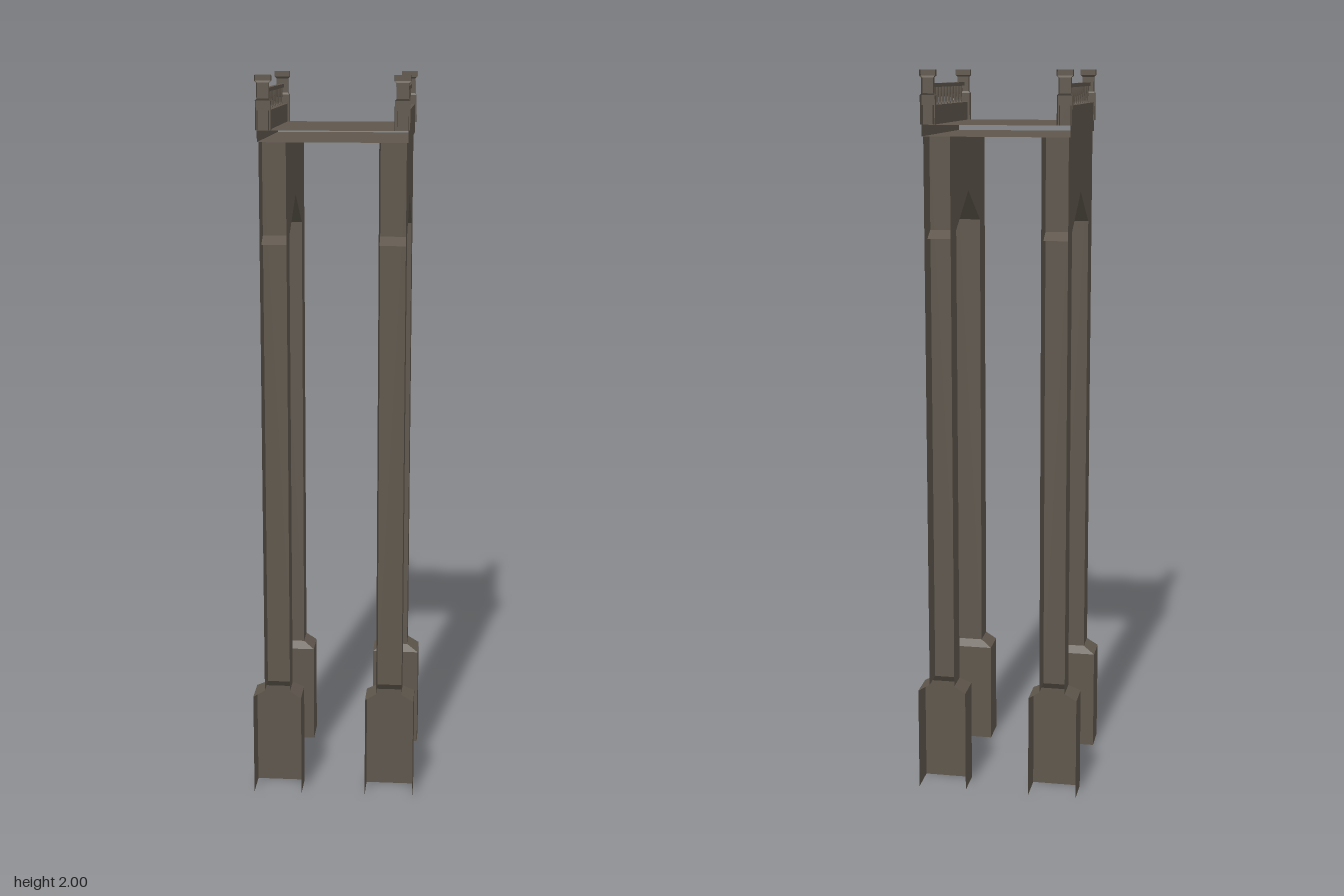
import * as THREE from 'three';

const END = 0.23; // open ends of the bridge section

export function createModel() {
  const model = new THREE.Group();
  const stone = new THREE.MeshStandardMaterial({ color: 0x5f574d, side: THREE.DoubleSide });
  stone.name = 'stone';

  const add = (name, geometry, x = 0, y = 0, z = 0) => {
    const mesh = new THREE.Mesh(geometry, stone);
    mesh.name = name;
    mesh.position.set(x, y, z);
    model.add(mesh);
    return mesh;
  };

  // Flat-faced sheet joining successive open cross-sections
  const loft = (rings, flip) => {
    const pos = [];
    for (let r = 0; r < rings.length - 1; r++) {
      for (let i = 0; i < rings[r].length - 1; i++) {
        const a = rings[r][i], b = rings[r][i + 1];
        const c = rings[r + 1][i + 1], d = rings[r + 1][i];
        const corners = flip ? [a, c, b, a, d, c] : [a, b, c, a, c, d];
        corners.forEach((p) => pos.push(...p));
      }
    }
    const g = new THREE.BufferGeometry();
    g.setAttribute('position', new THREE.Float32BufferAttribute(pos, 3));
    g.computeVertexNormals();
    return g;
  };

  // Upright three-sided channel, open toward the end; levels are [y, xInner, xOuter, zInner]
  const channel = (levels, sx, sz) => loft(levels.map(([y, xi, xo, zi]) => [
    [sx * xi, y, sz * END], [sx * xi, y, sz * zi],
    [sx * xo, y, sz * zi], [sx * xo, y, sz * END],
  ]), sx * sz > 0);

  for (const sx of [-1, 1]) {
    for (const sz of [-1, 1]) {
      // Wide foot with a sloped shoulder, then the tall pier
      add('pierFoot', channel([
        [0, 0.09, 0.225, 0.144], [0.29, 0.09, 0.225, 0.144], [0.31, 0.121, 0.192, 0.16],
      ], sx, sz));
      add('pier', channel([[0.31, 0.121, 0.192, 0.16], [1.83, 0.121, 0.192, 0.16]], sx, sz));

      // Railing end post with a recessed neck and a cap
      add('railingPost', channel([
        [1.86, 0.16, 0.2, 0.212], [1.935, 0.16, 0.2, 0.212],
        [1.94, 0.164, 0.196, 0.215], [1.98, 0.164, 0.196, 0.215],
        [1.985, 0.159, 0.201, 0.211], [2, 0.159, 0.201, 0.211],
        [2, 0.159, 0.201, END],
      ], sx, sz));
    }

    // Pointed arch wall between the piers
    add('archWall', loft([[-0.195, 1.56], [0, 1.675], [0.195, 1.56]].map(([z, y]) => [
      [sx * 0.121, 1.83, z], [sx * 0.121, y, z], [sx * 0.192, y, z], [sx * 0.192, 1.83, z],
    ]), sx < 0));

    // Handrail and balusters
    add('handrail', new THREE.BoxGeometry(0.012, 0.01, 0.43), sx * 0.181, 1.96, 0);
    const profile = [[0.005, 0], [0.003, 0.008], [0.0055, 0.03], [0.0055, 0.046]]
      .map(([r, y]) => new THREE.Vector2(r, y));
    const baluster = new THREE.LatheGeometry(profile, 6);
    for (let i = -5; i <= 5; i++) add('baluster', baluster, sx * 0.181, 1.91, i * 0.037);
  }

  // Hollow deck slab with a raised curb along each side
  const section = [
    [0.196, 1.83], [0.196, 1.91], [0.166, 1.91], [0.166, 1.86],
    [-0.166, 1.86], [-0.166, 1.91], [-0.196, 1.91], [-0.196, 1.83], [0.196, 1.83],
  ];
  add('deckAndCurbs', loft([-END, END].map((z) => section.map(([x, y]) => [x, y, z])), false));
  // Deck sheet continuing beneath the curbs
  for (const sx of [-1, 1]) {
    add('curbFloor', new THREE.PlaneGeometry(0.03, 2 * END).rotateX(-Math.PI / 2), sx * 0.181, 1.86, 0);
  }

  return model;
}
